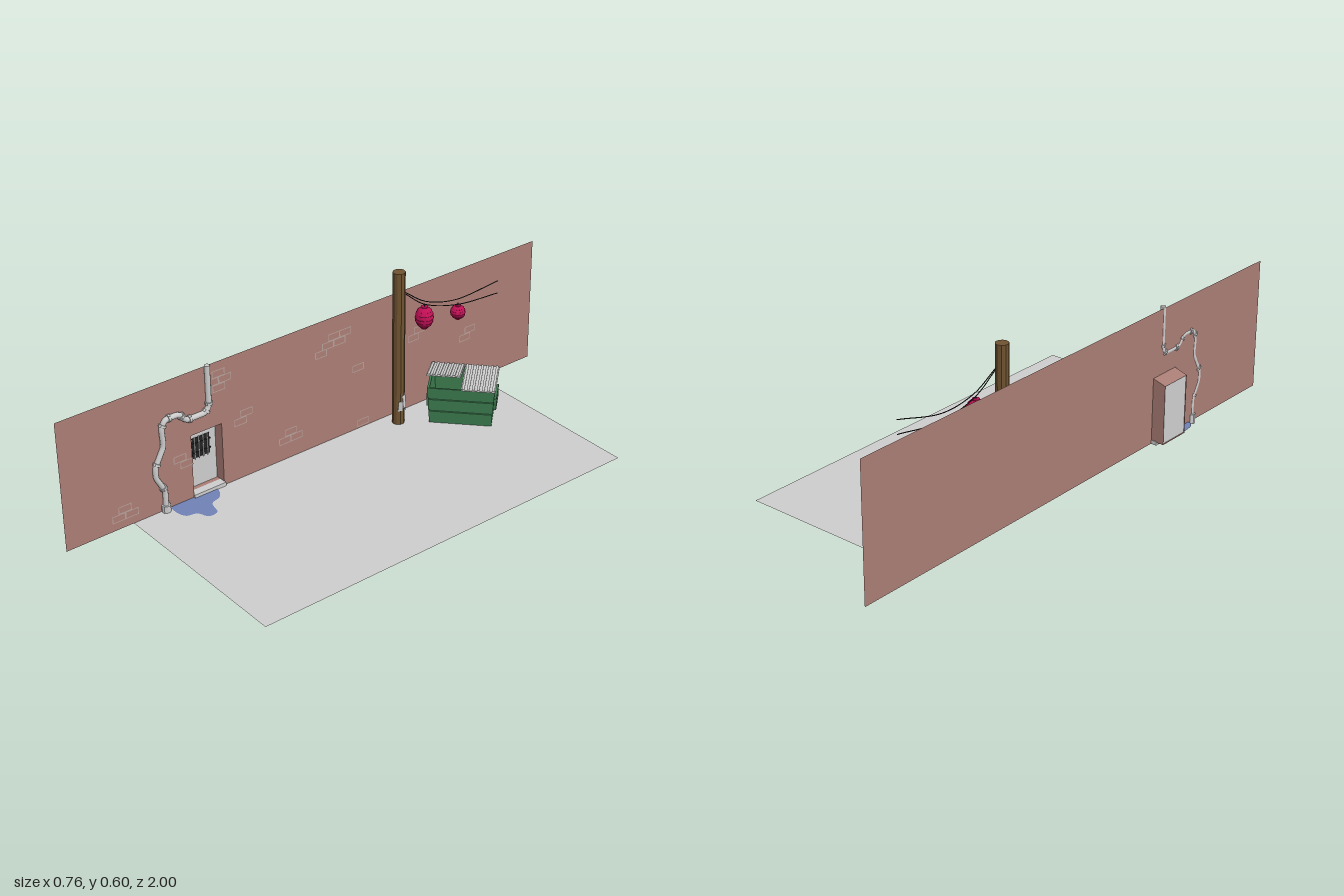
import * as THREE from 'three';

const mat = (color, extra = {}) => new THREE.MeshStandardMaterial({ color, flatShading: true, side: THREE.DoubleSide, ...extra });
const GREY = mat(0xcccccc), BRICK = mat(0xa87c74), MORTAR = mat(0xb39f97), GREEN = mat(0x3c7a4e);
const WOOD = mat(0x6e5230), RED = mat(0xc01055), DARK = mat(0x222222), WATER = mat(0x6f80b4);

function add(parent, name, geo, material, x = 0, y = 0, z = 0) {
  const m = new THREE.Mesh(geo, material);
  m.name = name;
  m.position.set(x, y, z);
  parent.add(m);
  return m;
}
const box = (w, h, d) => new THREE.BoxGeometry(w, h, d);
const cyl = (r, h, n = 10, r2 = r) => new THREE.CylinderGeometry(r, r2, h, n);
const group = (parent, name) => {
  const g = new THREE.Group();
  g.name = name;
  parent.add(g);
  return g;
};
const rectPath = (T, x0, y0, x1, y1) => new T([[x0, y0], [x1, y0], [x1, y1], [x0, y1]].map(p => new THREE.Vector2(...p)));

const WALL_X = -0.336, GROUND_Y = 0.01;

// Brick wall with a door opening and a few outlined bricks
function buildWall(root) {
  const g = group(root, 'brickWall');
  const shape = rectPath(THREE.Shape, -1, GROUND_Y, 1, 0.487);
  shape.holes.push(rectPath(THREE.Path, 0.385, 0.02, 0.507, 0.25));
  add(g, 'wallPanel', new THREE.ShapeGeometry(shape), BRICK, WALL_X).rotation.y = -Math.PI / 2;

  const frame = rectPath(THREE.Shape, -0.025, -0.0135, 0.025, 0.0135);
  frame.holes.push(rectPath(THREE.Path, -0.022, -0.0105, 0.022, 0.0105));
  const brickGeo = new THREE.ShapeGeometry(frame).rotateY(Math.PI / 2);
  const bricks = [
    [0.39, 0.443], [0.365, 0.417], [0.415, 0.417], [0.39, 0.39],
    [-0.03, 0.363], [-0.06, 0.387], [-0.11, 0.387], [-0.085, 0.414], [-0.135, 0.414],
    [0.285, 0.257], [0.31, 0.23], [0.555, 0.182], [0.53, 0.155],
    [0.775, 0.08], [0.8, 0.053], [0.75, 0.053], [0.105, 0.112], [0.13, 0.085], [0.08, 0.085],
    [-0.19, 0.255], [-0.465, 0.31], [-0.44, 0.285], [-0.705, 0.23], [-0.68, 0.203], [-0.21, 0.03],
  ];
  for (const [z, y] of bricks) add(g, 'brickOutline', brickGeo, MORTAR, WALL_X + 0.0015, y, z);
}

// Recess behind the wall, with the door set into it
function buildDoorway(root) {
  const g = group(root, 'doorway');
  const side = new THREE.Shape([[-0.385, 0.022], [WALL_X, 0.02], [WALL_X, 0.25], [-0.385, 0.235]].map(p => new THREE.Vector2(...p)));
  for (const z of [0.385, 0.507]) add(g, 'recessSide', new THREE.ShapeGeometry(side), BRICK, 0, 0, z);
  const top = add(g, 'recessTop', new THREE.PlaneGeometry(0.051, 0.122).rotateX(-Math.PI / 2), BRICK, -0.3605, 0.2425, 0.446);
  top.rotation.z = 0.297;
  add(g, 'recessFloor', box(0.049, 0.003, 0.122), BRICK, -0.3605, 0.0215, 0.446);
  add(g, 'doorStep', box(0.03, 0.014, 0.126), GREY, -0.343, 0.017, 0.446);
  add(g, 'doorPanel', box(0.007, 0.213, 0.12), GREY, -0.379, 0.129, 0.446);
  add(g, 'windowPane', box(0.002, 0.078, 0.07), DARK, -0.3745, 0.17, 0.446);
  for (let i = 0; i < 4; i++) {
    add(g, 'windowBar', cyl(0.0022, 0.084, 6), GREY, -0.372, 0.17, 0.4205 + i * 0.017);
  }
  for (const y of [0.152, 0.188]) add(g, 'windowCrossBar', box(0.003, 0.004, 0.076), DARK, -0.372, y, 0.446);
  add(g, 'doorKnob', new THREE.SphereGeometry(0.005, 8, 6), GREY, -0.371, 0.11, 0.494);
}

// Bent drain pipe with collars at its joints
function buildPipe(root) {
  const g = group(root, 'drainPipe');
  const pts = [
    [0.623, 0.02], [0.623, 0.09], [0.655, 0.15], [0.655, 0.187], [0.618, 0.257], [0.623, 0.325], [0.607, 0.353],
    [0.553, 0.353], [0.527, 0.32], [0.452, 0.32], [0.436, 0.338], [0.436, 0.492],
  ].map(([z, y]) => new THREE.Vector3(-0.329, y, z));
  const path = new THREE.CurvePath();
  const bend = (i, k) => pts[i].clone().lerp(pts[i + k], Math.min(0.3, 0.014 / pts[i].distanceTo(pts[i + k])));
  // straight runs joined by short rounded bends
  let from = pts[0];
  for (let i = 1; i < pts.length - 1; i++) {
    const a = bend(i, -1), b = bend(i, 1);
    path.add(new THREE.LineCurve3(from, a));
    path.add(new THREE.QuadraticBezierCurve3(a, pts[i], b));
    from = b;
  }
  path.add(new THREE.LineCurve3(from, pts.at(-1)));
  add(g, 'pipe', new THREE.TubeGeometry(path, 120, 0.0095, 10), mat(0xcccccc, { flatShading: false }));
  add(g, 'pipeTop', new THREE.CircleGeometry(0.0095, 10).rotateX(-Math.PI / 2), GREY, -0.329, 0.492, 0.436);
  add(g, 'pipeBase', cyl(0.016, 0.035, 10), GREY, -0.329, 0.0175, 0.623);
  const up = new THREE.Vector3(0, 1, 0);
  for (const i of [1, 3, 5, 6, 7, 8, 9, 10]) {
    const p = bend(i, 1), dir = pts[i + 1].clone().sub(pts[i]).normalize();
    add(g, 'pipeCollar', cyl(0.0135, 0.009), GREY, p.x, p.y, p.z).quaternion.setFromUnitVectors(up, dir);
  }
}

// Blob-shaped puddle in front of the door
function buildPuddle(root) {
  const outline = [[-0.33, 0.42], [-0.285, 0.44], [-0.268, 0.482], [-0.215, 0.5], [-0.213, 0.535], [-0.25, 0.555],
    [-0.262, 0.592], [-0.305, 0.605], [-0.355, 0.59], [-0.368, 0.53], [-0.35, 0.46]];
  const curve = new THREE.CatmullRomCurve3(outline.map(([x, z]) => new THREE.Vector3(x, -z, 0)), true);
  const shape = new THREE.Shape(curve.getPoints(50).map(p => new THREE.Vector2(p.x, p.y)));
  add(root, 'puddle', new THREE.ShapeGeometry(shape).rotateX(-Math.PI / 2), WATER, 0, GROUND_Y + 0.002, 0);
}

// Wooden pole with pinned papers, sagging wires and two paper lanterns
function buildPole(root) {
  const g = group(root, 'utilityPole');
  add(g, 'pole', cyl(0.0225, 0.6, 10), WOOD, -0.282, 0.3, -0.327);
  for (const [y, a, h, tilt] of [[0.1, 0.3, 0.05, 0.08], [0.085, -0.35, 0.04, -0.12], [0.075, 0.95, 0.03, 0.1]]) {
    const p = add(g, 'pinnedPaper', box(0.0015, h, 0.017), GREY, -0.282 + Math.cos(a) * 0.0245, y, -0.327 - Math.sin(a) * 0.0245);
    p.rotation.set(0, a, tilt);
  }
  const wires = [
    [[-0.272, 0.52, -0.345], [-0.26, 0.462, -0.43], [-0.243, 0.436, -0.55], [-0.213, 0.466, -0.72]],
    [[-0.272, 0.515, -0.345], [-0.262, 0.452, -0.425], [-0.245, 0.412, -0.565], [-0.213, 0.418, -0.72]],
  ];
  for (const w of wires) {
    const curve = new THREE.CatmullRomCurve3(w.map(p => new THREE.Vector3(...p)));
    add(g, 'wire', new THREE.TubeGeometry(curve, 24, 0.0017, 5), DARK);
  }
  for (const [x, y, z, r, h] of [[-0.262, 0.402, -0.425, 0.033, 0.042], [-0.246, 0.382, -0.565, 0.027, 0.026]]) {
    const l = group(g, 'lantern');
    l.position.set(x, y, z);
    add(l, 'paperShade', new THREE.SphereGeometry(1, 12, 8), RED).scale.set(r, h, r);
    for (const t of [-0.65, -0.35, 0, 0.35, 0.65]) {
      add(l, 'shadeHoop', new THREE.TorusGeometry(r * Math.sqrt(1 - t * t), 0.0008, 4, 16).rotateX(Math.PI / 2), RED, 0, h * t, 0);
    }
    for (const s of [-1, 1]) add(l, 'lanternCap', cyl(r * 0.38, 0.005), RED, 0, s * h * 0.94, 0);
    add(l, 'lanternHook', cyl(0.0012, 0.012, 5), DARK, 0, h + 0.004, 0);
  }
}

// Open-topped bin with grooved sides, fork pockets and two corrugated lids
function buildDumpster(root) {
  const g = group(root, 'dumpster');
  g.position.set(-0.182, 0, -0.54);
  g.rotation.y = 0.75;
  const W = 0.236, D = 0.172;
  const profile = [[0, 0.012], [0.93, 0.012], [0.95, 0.058], [0.92, 0.06], [0.92, 0.063], [0.965, 0.065], [0.975, 0.106],
    [0.945, 0.108], [0.945, 0.111], [0.985, 0.113], [1, 0.153], [0.93, 0.153], [0.87, 0.02], [0, 0.02]];
  const body = new THREE.LatheGeometry(profile.map(p => new THREE.Vector2(...p)), 4, Math.PI / 4);
  add(g, 'binBody', body, GREEN).scale.set(W / Math.SQRT2, 1, D / Math.SQRT2);
  for (const s of [-1, 1]) {
    const pocket = rectPath(THREE.Shape, -0.052, -0.023, 0.052, 0.023);
    pocket.holes.push(rectPath(THREE.Path, -0.04, -0.014, 0.04, 0.014));
    const geo = new THREE.ExtrudeGeometry(pocket, { depth: 0.013, bevelEnabled: false });
    add(g, 'forkPocket', geo, GREEN, s * 0.11, 0.085, 0).rotation.y = s * Math.PI / 2;
    for (const f of [-1, 1]) add(g, 'foot', box(0.02, 0.006, 0.02), GREEN, s * 0.092, 0.012, f * 0.062);
    // lids hinge on the back edge; one is propped open
    const lid = group(g, 'lid');
    lid.position.set(s * 0.061, 0.156, -0.09);
    lid.rotation.x = s < 0 ? -0.27 : 0;
    add(lid, 'lidPanel', box(0.121, 0.004, 0.183), GREY, 0, 0, 0.0915);
    for (let i = 0; i < 7; i++) {
      add(lid, 'lidRib', box(0.009, 0.004, 0.183), GREY, -0.0525 + i * 0.0175, 0.003, 0.0915);
    }
  }
  add(g, 'lidHinge', cyl(0.004, 0.236, 8).rotateZ(Math.PI / 2), GREY, 0, 0.154, -0.088);
}

export function createModel() {
  const root = new THREE.Group();
  root.name = 'alley';
  add(root, 'ground', new THREE.PlaneGeometry(0.716, 1.5).rotateX(-Math.PI / 2), GREY, 0.022, GROUND_Y, -0.005);
  for (const build of [buildWall, buildDoorway, buildPipe, buildPuddle, buildPole, buildDumpster]) build(root);
  return root;
}
